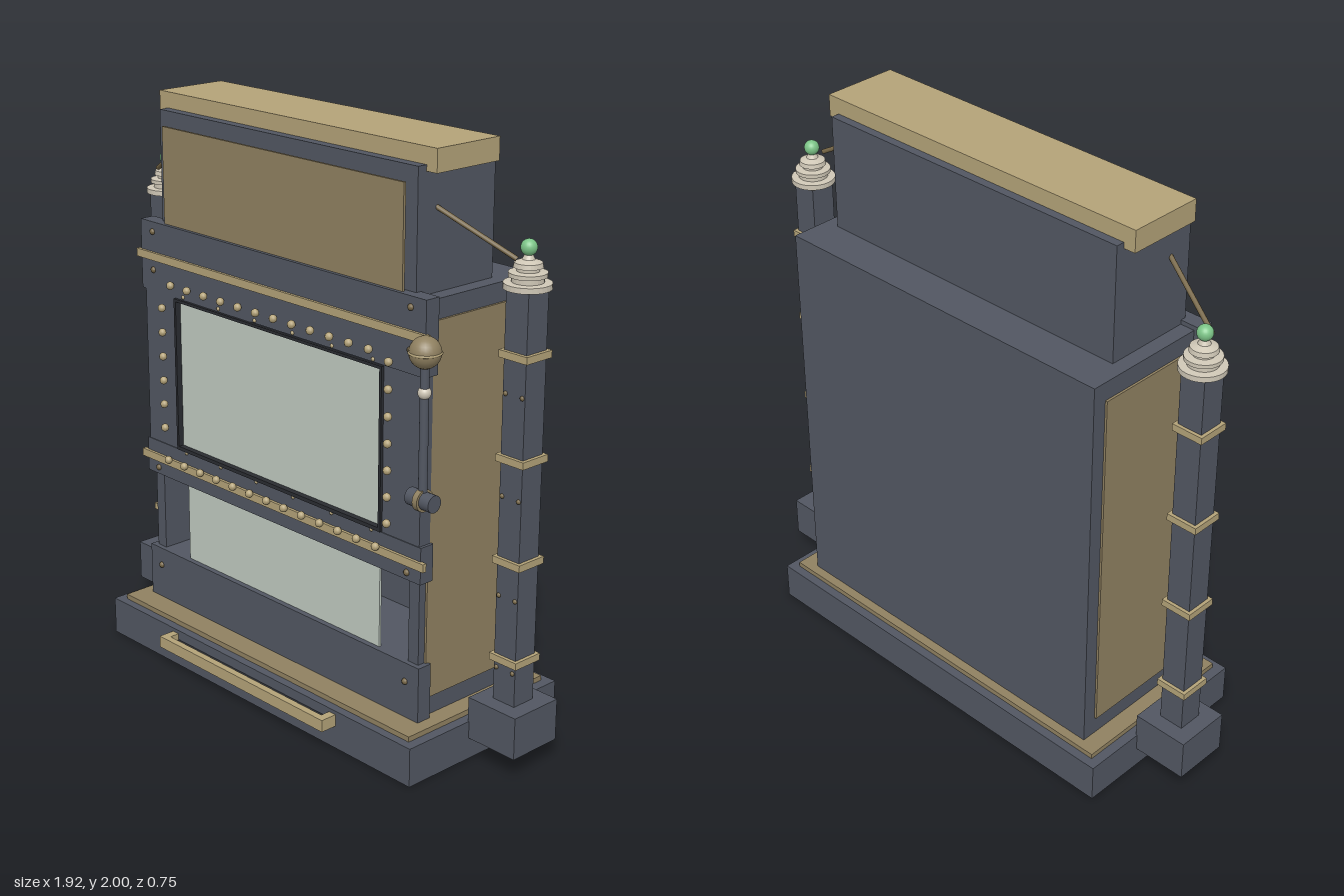
import * as THREE from 'three';

const mat = (name, color) => {
  const m = new THREE.MeshStandardMaterial({ color });
  m.name = name;
  return m;
};

export function createModel() {
  const iron = mat('dark iron', 0x515661);
  const brass = mat('light brass', 0xb3a278);
  const panel = mat('aged brass', 0x8f8060);
  const glass = mat('pale glass', 0xbfc9c0);
  const ivory = mat('ivory', 0xcfc7b6);
  const green = mat('green glass', 0x7cc487);
  const black = mat('black trim', 0x2a2c31);
  const rodMat = mat('dark bronze', 0x756545);

  const root = new THREE.Group();
  root.name = 'cabinet';
  const add = (name, geo, m, x = 0, y = 0, z = 0, parent = root) => {
    const mesh = new THREE.Mesh(geo, m);
    mesh.name = name;
    mesh.position.set(x, y, z);
    parent.add(mesh);
    return mesh;
  };
  // box given by its extents
  const box = (name, m, x0, x1, y0, y1, z0, z1, parent) =>
    add(name, new THREE.BoxGeometry(x1 - x0, y1 - y0, z1 - z0), m,
      (x0 + x1) / 2, (y0 + y1) / 2, (z0 + z1) / 2, parent);
  const ball = (name, m, r, x, y, z, parent) =>
    add(name, new THREE.SphereGeometry(r, r > 0.02 ? 24 : 10, r > 0.02 ? 16 : 8), m, x, y, z, parent);
  // rectangular frame with a rectangular opening
  const frame = (name, m, [x, y0, y1], [hx, h0, h1], z0, z1) => {
    const s = new THREE.Shape([[-x, y0], [x, y0], [x, y1], [-x, y1]].map(p => new THREE.Vector2(...p)));
    s.holes.push(new THREE.Path([[-hx, h0], [-hx, h1], [hx, h1], [hx, h0]].map(p => new THREE.Vector2(...p))));
    return add(name, new THREE.ExtrudeGeometry(s, { depth: z1 - z0, bevelEnabled: false }), m, 0, 0, z0);
  };
  const rod = (name, m, a, b, r, parent) => add(name, new THREE.TubeGeometry(
    new THREE.LineCurve3(new THREE.Vector3(...a), new THREE.Vector3(...b)), 1, r, 10), m, 0, 0, 0, parent);

  // plinth
  box('base', iron, -0.765, 0.765, 0, 0.135, -0.375, 0.315);
  box('baseTrim', panel, -0.73, 0.73, 0.135, 0.153, -0.343, 0.285);

  // main body with an open lower bay
  box('bodyBack', iron, -0.665, 0.665, 0.153, 1.545, -0.31, -0.1);
  box('bodyTop', iron, -0.665, 0.665, 0.64, 1.545, -0.1, 0.155);
  box('bodyBottom', iron, -0.665, 0.665, 0.153, 0.345, -0.1, 0.155);
  for (const s of [-1, 1]) {
    const x0 = s < 0 ? -0.665 : 0.62;
    box('bayWall', iron, x0, x0 + 0.045, 0.345, 0.64, -0.1, 0.182);
    const p = s < 0 ? -0.673 : 0.665;
    box('sidePanel', panel, p, p + 0.008, 0.22, 1.48, -0.26, 0.155);
  }
  box('lowerGlass', glass, -0.485, 0.485, 0.345, 0.64, 0.172, 0.18);

  // front plates and door
  box('lowerPlate', iron, -0.685, 0.685, 0.153, 0.345, 0.145, 0.2);
  box('middlePlate', iron, -0.685, 0.685, 0.635, 0.76, 0.145, 0.2);
  box('upperPlate', iron, -0.69, 0.69, 1.315, 1.56, 0.145, 0.2);
  frame('door', iron, [0.675, 0.76, 1.315], [0.51, 0.765, 1.31], 0.15, 0.197);
  frame('windowFrame', black, [0.51, 0.762, 1.312], [0.5, 0.775, 1.302], 0.15, 0.207);
  box('window', glass, -0.5, 0.5, 0.775, 1.302, 0.178, 0.186);
  for (const y of [0.7, 1.44]) box('rail', brass, -0.705, 0.705, y - 0.014, y + 0.014, 0.195, 0.21);

  // studs around the window
  const studs = new THREE.Group();
  studs.name = 'studs';
  root.add(studs);
  const stud = (x, y, z = 0.22, r = 0.014) => ball('stud', brass, r, x, y, z, studs);
  for (let i = 0; i < 12; i++) stud(-0.51 + i * 0.0885, 1.36);
  for (let i = 0; i < 13; i++) stud(-0.545 + i * 0.0873, 0.715);
  for (let i = 0; i < 6; i++) stud(-0.56, 1.27 - i * 0.0875);
  for (let i = 0; i < 7; i++) stud(0.552, 1.34 - i * 0.0885);
  for (let i = 0; i < 6; i++) for (const y of [0.757, 1.324]) stud(-0.465 + i * 0.186, y, 0.2, 0.007);
  for (const y of [0.28, 0.66, 1.39, 1.525]) for (const x of [-0.625, 0.625])
    ball('bolt', rodMat, 0.011, x, y, 0.2, studs);

  // upper case and lid
  box('upperCase', iron, -0.612, 0.612, 1.545, 1.945, -0.17, 0.165);
  box('upperPanel', panel, -0.575, 0.575, 1.556, 1.895, 0.178, 0.187);
  box('upperPanelBacking', iron, -0.55, 0.55, 1.56, 1.87, 0.165, 0.178);
  box('lid', brass, -0.655, 0.655, 1.925, 2, -0.14, 0.13);

  // side columns with bands, turned finials and stay rods
  const finial = [[0, 1.585], [0.075, 1.585], [0.075, 1.603], [0.05, 1.605], [0.05, 1.62], [0.06, 1.622],
    [0.06, 1.635], [0.035, 1.638], [0.035, 1.648], [0.046, 1.65], [0.043, 1.665], [0.02, 1.674], [0.012, 1.69], [0, 1.69]];
  for (const s of [-1, 1]) {
    const col = new THREE.Group();
    col.name = s < 0 ? 'rightColumn' : 'leftColumn';
    root.add(col);
    const cx = s * 0.86, cz = -0.055;
    const sq = (name, m, h, y0, y1) => box(name, m, cx - h, cx + h, y0, y1, cz - h, cz + h, col);
    sq('foot', iron, 0.1, 0.075, 0.22);
    sq('shaft', iron, 0.045, 0.22, 1.585);
    for (const y of [0.37, 0.705, 1.045, 1.38]) sq('band', brass, 0.057, y - 0.012, y + 0.012);
    for (const y of [0.335, 0.585, 0.92, 1.255]) for (const d of [-0.034, 0.034])
      ball('rivet', rodMat, 0.008, cx + d, y, cz + 0.045, col);
    // flat-shaded rings keep the turned steps crisp
    const lathe = new THREE.LatheGeometry(finial.map(p => new THREE.Vector2(...p)), 28).toNonIndexed();
    lathe.computeVertexNormals();
    add('finial', lathe, ivory, cx, 0, cz, col);
    ball('orb', green, 0.026, cx, 1.71, cz, col);
    rod('stayRod', rodMat, [s * 0.855, 1.68, -0.01], [s * 0.605, 1.812, 0.082], 0.008, col);
  }

  // side lever
  const lever = new THREE.Group();
  lever.name = 'lever';
  lever.position.set(0.77, 0, 0.284);
  root.add(lever);
  const cyl = (r, h) => new THREE.CylinderGeometry(r, r, h, 24);
  add('leverShaft', cyl(0.014, 0.43), iron, 0, 1.185, 0, lever);
  add('leverHub', cyl(0.028, 0.1).rotateZ(Math.PI / 2), iron, 0, 0.97, 0, lever);
  add('hubRing', cyl(0.036, 0.02).rotateZ(Math.PI / 2), panel, 0, 0.97, 0, lever);
  ball('leverCollar', ivory, 0.021, 0, 1.31, 0, lever);
  ball('leverKnob', panel, 0.05, 0, 1.435, 0, lever);
  add('knobBand', new THREE.TorusGeometry(0.049, 0.004, 8, 28).rotateX(Math.PI / 2), brass, 0, 1.435, 0, lever);

  // shallow tray on the base front
  box('trayInside', black, -0.39, 0.39, 0.075, 0.1, 0.315, 0.35);
  box('trayFront', brass, -0.423, 0.423, 0.08, 0.122, 0.35, 0.375);
  for (const x of [-0.408, 0.408]) box('trayEnd', brass, x - 0.015, x + 0.015, 0.08, 0.122, 0.315, 0.35);

  return root;
}
